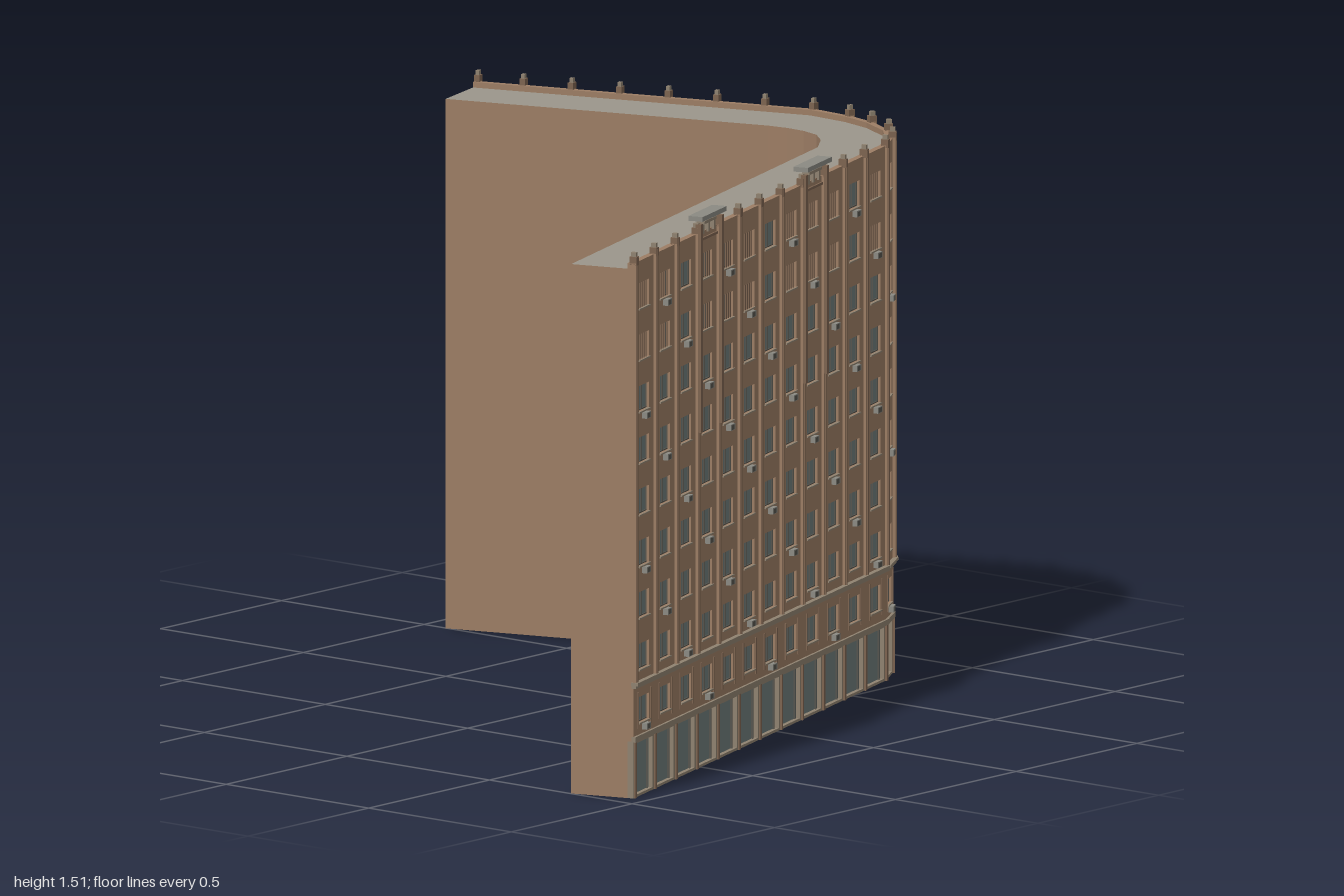
import * as THREE from 'three';
import { mergeGeometries } from 'three/addons/utils/BufferGeometryUtils.js';

const mat = (name, color) => new THREE.MeshStandardMaterial({ name, color });

export function createModel() {
  const brick = mat('brick', 0x9c7d64);
  const darkBrick = mat('darkBrick', 0x7d6450);
  const stone = mat('stone', 0x8f8270);
  const roofGrey = mat('roofGrey', 0x9b968b);
  const glass = mat('glass', 0x6e7b79);
  const frame = mat('frame', 0x55544e);
  const metal = mat('metal', 0x8b8a83);

  // Collect geometries by part name, merged into one mesh each at the end
  const parts = new Map();
  let place = new THREE.Matrix4();
  const add = (name, material, geo) => {
    const g = geo.index ? geo.toNonIndexed() : geo;
    g.applyMatrix4(place);
    if (!parts.has(name)) parts.set(name, { material, list: [] });
    parts.get(name).list.push(g);
  };
  // Box given by its extents in the bay's frame: x along the wall, z outward
  const box = (name, material, x0, x1, y0, y1, z0, z1) => {
    const g = new THREE.BoxGeometry(x1 - x0, y1 - y0, z1 - z0);
    g.translate((x0 + x1) / 2, (y0 + y1) / 2, (z0 + z1) / 2);
    add(name, material, g);
  };
  const rectPath = (Type, x0, x1, y0, y1) => new Type([[x0, y0], [x1, y0], [x1, y1], [x0, y1]]
    .map(([x, y]) => new THREE.Vector2(x, y)));

  // Street line: long wing, rounded corner, short wing
  const line = [];
  const run = (a, b, n) => {
    for (let i = 0; i < n; i++) line.push([a[0] + (b[0] - a[0]) * i / n, a[1] + (b[1] - a[1]) * i / n]);
  };
  const start = [-0.943, 0.957], end = [0.68, -0.972];
  run(start, [0.717, 0.436], 12);
  line.push([0.717, 0.436], [0.81, 0.382], [0.885, 0.305], [0.94, 0.2], [0.966, 0.1]);
  run([0.975, -0.035], end, 7);
  line.push(end);
  const count = line.length - 1;
  const normalAt = (i) => {
    const a = line[Math.max(i - 1, 0)], b = line[Math.min(i + 1, count)];
    const dx = b[0] - a[0], dz = b[1] - a[1], l = Math.hypot(dx, dz);
    return [-dz / l, dx / l];
  };

  // Solid body behind the facade
  const wall = 0.018, roofY = 1.445;
  const courtyard = [[0.497, -0.922], [0.778, -0.03], [0.787, 0.03], [0.785, 0.09], [0.767, 0.15], [0.72, 0.205],
    [0.64, 0.262], [-0.998, 0.785]];
  const outline = line.map((p, i) => {
    const n = normalAt(i);
    return [p[0] - n[0] * wall, p[1] - n[1] * wall];
  }).concat(courtyard);
  const bodyShape = new THREE.Shape(outline.map(([x, z]) => new THREE.Vector2(x, -z)));
  const bodyGeo = new THREE.ExtrudeGeometry(bodyShape, { depth: roofY, bevelEnabled: false });
  bodyGeo.rotateX(-Math.PI / 2);
  const body = new THREE.Mesh(bodyGeo, [roofGrey, brick]);
  body.name = 'buildingBody';

  const floorY = (f) => 0.235 + (f ? 0.145 + (f - 1) * 0.1407 : 0);
  const canopyBay = (i) => i === 3 || i === 8;
  const tallPier = (i) => [3, 4, 8, 9].includes(i);

  for (let i = 0; i < count; i++) {
    const [ax, az] = line[i], [bx, bz] = line[i + 1];
    const w = Math.hypot(bx - ax, bz - az), c = w / 2;
    place = new THREE.Matrix4().makeRotationY(-Math.atan2(bz - az, bx - ax)).setPosition(ax, 0, az);
    const half = Math.min(0.035, w * 0.28);

    // Upper wall with window openings
    const panel = rectPath(THREE.Shape, 0, w, 0.155, 1.46);
    for (let f = 0; f < 9; f++) {
      const y = floorY(f);
      panel.holes.push(rectPath(THREE.Path, c - half, c + half, y - 0.035, y + 0.035));
    }
    const panelGeo = new THREE.ExtrudeGeometry(panel, { depth: wall, bevelEnabled: false });
    panelGeo.translate(0, 0, -wall);
    add('facadeWall', brick, panelGeo);

    // Shop front
    const shop = rectPath(THREE.Shape, 0, w, 0, 0.155);
    shop.holes.push(rectPath(THREE.Path, 0.013, w - 0.013, 0.007, 0.147));
    const shopGeo = new THREE.ExtrudeGeometry(shop, { depth: wall, bevelEnabled: false });
    shopGeo.translate(0, 0, -wall);
    add('shopFront', stone, shopGeo);
    box('shopGlass', glass, 0.013, w - 0.013, 0.007, 0.147, -wall, -0.012);
    box('shopMullions', frame, 0.013, 0.018, 0.007, 0.147, -0.012, -0.007);
    box('shopMullions', frame, w - 0.03, w - 0.027, 0.007, 0.147, -0.012, -0.007);

    // Windows
    for (let f = 0; f < 9; f++) {
      const y = floorY(f), x0 = c - half, x1 = c + half, y0 = y - 0.035, y1 = y + 0.035;
      box('windowGlass', glass, x0, x1, y0, y1, -wall, -0.011);
      const bar = (a, b, d, e) => box('windowFrames', frame, a, b, d, e, -0.011, -0.007);
      bar(x0, x0 + 0.003, y0, y1);
      bar(x1 - 0.003, x1, y0, y1);
      bar(x0, x1, y0, y0 + 0.003);
      bar(x0, x1, y1 - 0.003, y1);
      bar(c - 0.001, c + 0.001, y0, y1);
      box('windowSills', stone, x0 - 0.003, x1 + 0.003, y0 - 0.004, y0, -0.004, 0.004);

      // Window grilles
      const grille = i < 12 ? f >= 7 && i % 4 !== 2 : i === 18 && f % 2 === 1;
      if (grille) for (let k = 1; k < 5; k++) {
        const x = x0 + k * half * 0.4;
        box('windowGrilles', darkBrick, x - 0.002, x + 0.002, y0, y1, -0.006, -0.002);
      }
      // Cooling units stepping diagonally across the bays
      if ((i + f) % 3 === 0) {
        box('coolingUnits', metal, c - 0.014, c + 0.016, y0 - 0.022, y0 - 0.005, 0, 0.014);
        box('coolingGrilles', frame, c - 0.011, c + 0.007, y0 - 0.02, y0 - 0.007, 0.014, 0.0155);
      }
      // Side piers of the mezzanine windows
      if (f === 0) for (const s of [-1, 1]) {
        const x = c + s * (half + 0.008);
        box('mezzaninePiers', darkBrick, x - 0.002, x + 0.002, 0.185, 0.285, 0, 0.003);
      }
    }

    // Horizontal courses
    box('lowerCourse', stone, -0.002, w + 0.002, 0.153, 0.168, -0.005, 0.007);
    box('upperCourse', stone, -0.003, w + 0.003, 0.3, 0.308, -0.005, 0.009);
    box('upperCourse', stone, -0.004, w + 0.004, 0.308, 0.316, -0.005, 0.014);

    // Roof canopies
    if (canopyBay(i)) {
      box('roofCanopy', metal, -0.01, w + 0.01, 1.497, 1.51, -0.02, 0.022);
      box('canopyBeam', stone, 0.03, w - 0.03, 1.482, 1.49, -0.012, 0.01);
      for (const x of [0.035, c, w - 0.035]) box('canopyPosts', stone, x - 0.006, x + 0.006, 1.455, 1.498, -0.012, 0.006);
      box('canopyLintel', darkBrick, 0.01, w - 0.01, 1.437, 1.444, 0, 0.005);
    }
  }

  // Pilasters and finials at each bay joint
  for (let i = 0; i <= count; i++) {
    const [nx, nz] = normalAt(i), [x, z] = line[i];
    place = new THREE.Matrix4().makeRotationY(Math.atan2(nx, nz)).setPosition(x, 0, z);
    const off = i === 0 ? 0.008 : i === count ? -0.008 : 0;
    box('pilasters', brick, off - 0.008, off + 0.008, 0.316, 1.462, -0.008, 0.007);
    box('pilasterRibs', darkBrick, off - 0.003, off + 0.003, 0.316, 1.475, 0, 0.01);
    box('finials', darkBrick, off - 0.008, off + 0.008, 1.455, 1.478, -0.012, 0.009);
    box('finialCaps', stone, off - 0.005, off + 0.005, 1.478, 1.49, -0.008, 0.006);
    box('shopPiers', darkBrick, off - 0.005, off + 0.005, 0, 0.153, -0.005, 0.005);
    if (tallPier(i)) box('tallPiers', darkBrick, -0.007, 0.007, 0.92, 1.488, 0, 0.015);
  }

  const model = new THREE.Group();
  model.name = 'cornerBuilding';
  model.add(body);
  for (const [name, { material, list }] of parts) {
    const mesh = new THREE.Mesh(mergeGeometries(list), material);
    mesh.name = name;
    model.add(mesh);
  }
  return model;
}
